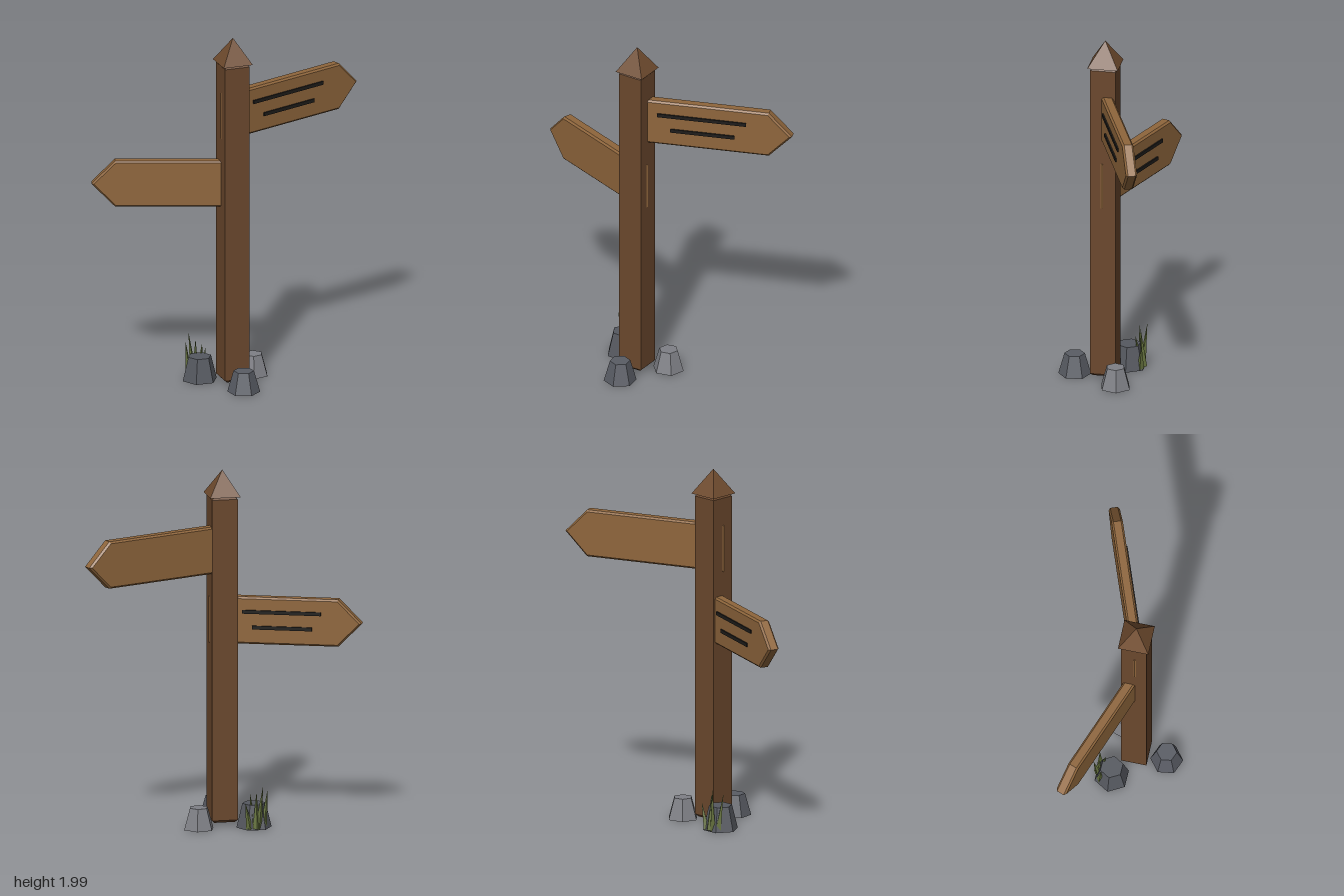
import * as THREE from 'three';

const mat = (color) => new THREE.MeshStandardMaterial({ color, flatShading: true });
const POST = { x: -0.05, z: 0.035 };

function part(name, geometry, material, x = 0, y = 0, z = 0) {
  const mesh = new THREE.Mesh(geometry, material);
  mesh.name = name;
  mesh.position.set(x, y, z);
  return mesh;
}

// Extruded outline with chamfered edges, centred on z; the chamfer stays inside the outline
function chamfered(points, depth, bevel) {
  const shape = new THREE.Shape(points.map(([x, y]) => new THREE.Vector2(x, y)));
  const g = new THREE.ExtrudeGeometry(shape, {
    depth: depth - 2 * bevel, bevelEnabled: true, bevelSegments: 1,
    bevelThickness: bevel, bevelSize: bevel, bevelOffset: -bevel,
  });
  return g.translate(0, 0, bevel - depth / 2);
}

// Arrow board running along local +x from the post axis, with two strips on its +z face
function sign(name, y, yaw, length, strips, wood, dark) {
  const h = 0.132, shoulder = length - 0.13, tail = -0.072;
  const group = new THREE.Group();
  group.name = name;
  group.add(part('arrowBoard', chamfered(
    [[tail, -h], [shoulder, -h], [length, 0], [shoulder, h], [tail, h]], 0.062, 0.01), wood));
  strips.forEach(([from, to, sy]) => group.add(part('markingStrip',
    new THREE.BoxGeometry(to - from, 0.02, 0.012), dark, (from + to) / 2, sy, 0.033)));
  group.position.set(POST.x, y, POST.z);
  group.rotation.y = yaw;
  return group;
}

// Thin three-sided cone from a base point to a tip point
function blade(base, tip, radius, material) {
  const a = new THREE.Vector3(...base), b = new THREE.Vector3(...tip);
  const dir = b.clone().sub(a), length = dir.length();
  const mesh = part('grassBlade', new THREE.ConeGeometry(radius, length, 4), material);
  mesh.position.copy(a).add(b).multiplyScalar(0.5);
  mesh.quaternion.setFromUnitVectors(new THREE.Vector3(0, 1, 0), dir.normalize());
  return mesh;
}

export function createModel() {
  const model = new THREE.Group();
  model.name = 'signpost';
  const postWood = mat(0x6b482d), capWood = mat(0x6f4b2e), boardWood = mat(0x8f663c);
  const dark = mat(0x1e1c1a), green = mat(0x66733f);

  // Post with chamfered edges and ends
  const w = 0.0715;
  const postGeo = chamfered([[-w, -w], [w, -w], [w, w], [-w, w]], 1.83, 0.014).rotateX(-Math.PI / 2);
  model.add(part('post', postGeo, postWood, POST.x, 0.945, POST.z));

  // Pyramid cap
  const capGeo = new THREE.ConeGeometry(0.085 * Math.SQRT2, 0.14, 4).rotateY(Math.PI / 4);
  model.add(part('postCap', capGeo, capWood, POST.x, 1.93, POST.z));

  // Two boards; the lower one is turned round so its strips face the back
  model.add(sign('upperSign', 1.56, 0.352, 0.875,
    [[0.12, 0.62, 0.05], [0.195, 0.555, -0.037]], boardWood, dark));
  model.add(sign('lowerSign', 1.163, Math.PI - 0.357, 0.775,
    [[0.115, 0.55, 0.05], [0.17, 0.5, -0.037]], boardWood, dark));

  // Six-sided rocks: x, z, base radius, top radius, height, turn, colour
  [
    [-0.05, 0.205, 0.09, 0.056, 0.12, 0.14, 0x5a5d65],
    [0.1, -0.05, 0.088, 0.053, 0.12, -0.3, 0x7f8086],
    [-0.205, -0.07, 0.098, 0.065, 0.135, 0.5, 0x565960],
  ].forEach(([x, z, rBase, rTop, h, turn, color]) => model.add(part('rock',
    new THREE.CylinderGeometry(rTop, rBase, h, 6).rotateY(turn), mat(color), x, 0.008 + h / 2, z)));

  // Grass tuft behind the left rock
  const grass = new THREE.Group();
  grass.name = 'grassTuft';
  [
    [[-0.215, 0.015, -0.14], [-0.235, 0.255, -0.165]],
    [[-0.245, 0.015, -0.13], [-0.272, 0.228, -0.115]],
    [[-0.185, 0.015, -0.135], [-0.175, 0.205, -0.11]],
    [[-0.2, 0.015, -0.15], [-0.205, 0.22, -0.135]],
    [[-0.165, 0.015, -0.14], [-0.14, 0.165, -0.15]],
  ].forEach(([base, tip]) => grass.add(blade(base, tip, 0.02, green)));
  model.add(grass);

  return model;
}
